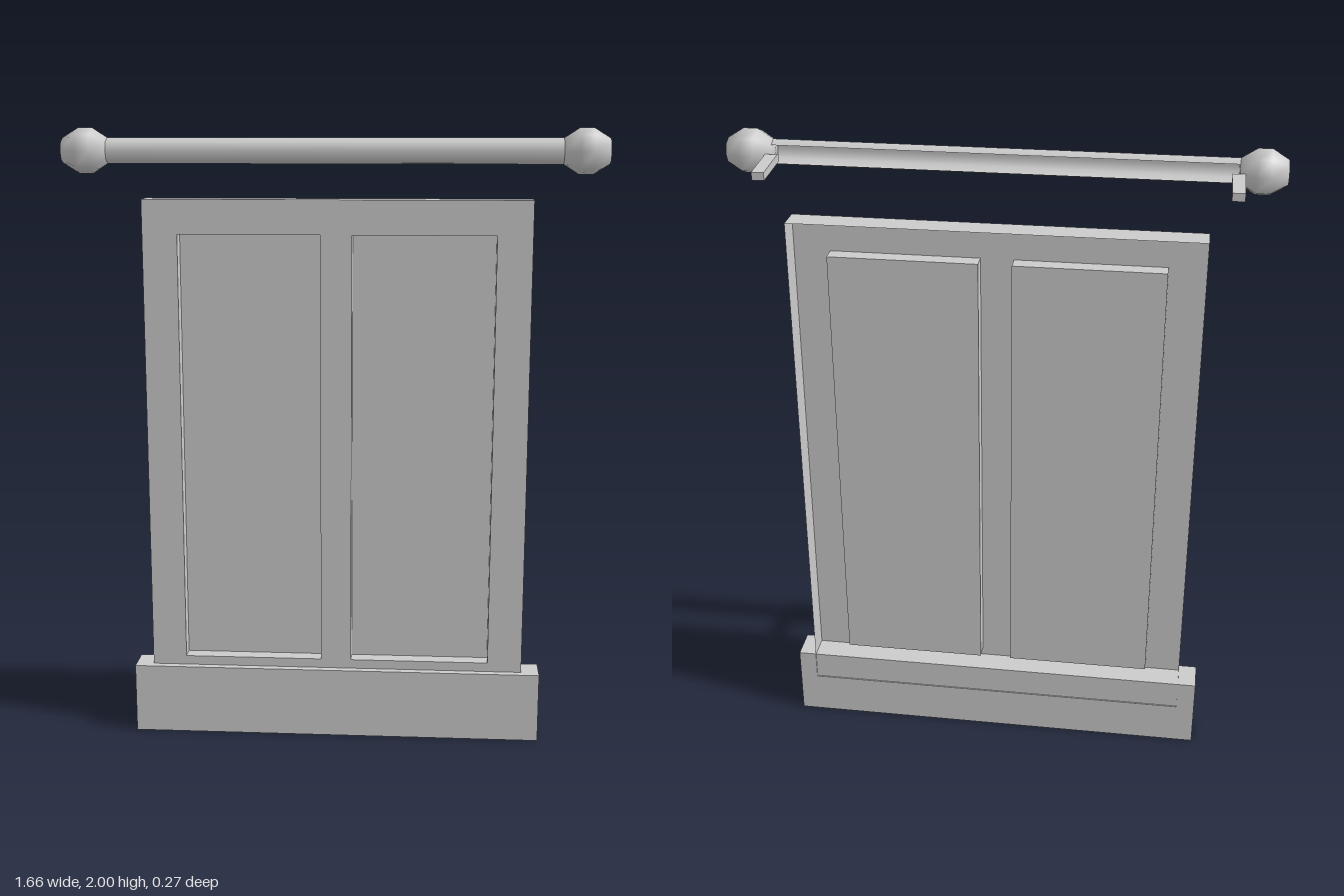
import * as THREE from 'three';
import { mergeGeometries } from 'three/addons/utils/BufferGeometryUtils.js';

const solid = new THREE.MeshStandardMaterial({ color: 0xcccccc });
const sheet = new THREE.MeshStandardMaterial({ color: 0xcccccc, side: THREE.DoubleSide });

function add(parent, name, geometry, material = solid) {
  const mesh = new THREE.Mesh(geometry, material);
  mesh.name = name;
  parent.add(mesh);
  return mesh;
}

// Four thin walls around a rectangle, facing outward, running from z0 to z1
function rectWalls(x0, x1, y0, y1, z0, z1) {
  const w = x1 - x0, h = y1 - y0, d = z1 - z0;
  const cx = (x0 + x1) / 2, cy = (y0 + y1) / 2, cz = (z0 + z1) / 2;
  return mergeGeometries([
    new THREE.PlaneGeometry(d, h).rotateY(Math.PI / 2).translate(x1, cy, cz),
    new THREE.PlaneGeometry(d, h).rotateY(-Math.PI / 2).translate(x0, cy, cz),
    new THREE.PlaneGeometry(w, d).rotateX(-Math.PI / 2).translate(cx, y1, cz),
    new THREE.PlaneGeometry(w, d).rotateX(Math.PI / 2).translate(cx, y0, cz),
  ]);
}

function rectPath(path, x0, x1, y0, y1) {
  path.moveTo(x0, y0).lineTo(x1, y0).lineTo(x1, y1).lineTo(x0, y1).closePath();
  return path;
}

export function createModel() {
  const model = new THREE.Group();
  model.name = 'panelAndRail';

  // Bottom sill
  add(model, 'sill', new THREE.BoxGeometry(1.35, 0.23, 0.106).translate(0, 0.115, -0.078));

  // Hollow frame, open at the back, with two recessed panels
  const FRONT = -0.051, BACK = -0.135, RECESS = -0.102;
  const frame = new THREE.Group();
  frame.name = 'frame';
  model.add(frame);
  const face = rectPath(new THREE.Shape(), -0.617, 0.617, 0.14, 1.78);
  for (const [x0, x1] of [[-0.505, -0.05], [0.05, 0.505]]) {
    face.holes.push(rectPath(new THREE.Path(), x0, x1, 0.26, 1.67));
    add(frame, 'recessWalls', rectWalls(x0, x1, 0.26, 1.67, RECESS, FRONT), sheet);
    add(frame, 'recessedPanel', new THREE.PlaneGeometry(x1 - x0, 1.41)
      .translate((x0 + x1) / 2, 0.965, RECESS), sheet);
  }
  add(frame, 'frameFace', new THREE.ShapeGeometry(face).translate(0, 0, FRONT), sheet);
  add(frame, 'frameSides', rectWalls(-0.617, 0.617, 0.14, 1.78, BACK, FRONT), sheet);

  // Eight-sided rail, with its two rear faces left open
  const RAIL_Y = 1.932, RAIL_Z = 0.066;
  const railGeometry = new THREE.CylinderGeometry(0.039, 0.039, 1.42, 6, 1, true, -Math.PI / 4, Math.PI * 1.5);
  railGeometry.rotateZ(Math.PI / 2);
  // Turn the opening to face the rear
  railGeometry.computeBoundingBox();
  const box = railGeometry.boundingBox;
  const turn = box.max.y < 0.035 ? -Math.PI / 2 : box.min.y > -0.035 ? Math.PI / 2
    : box.max.z < 0.035 ? Math.PI : 0;
  add(model, 'rail', railGeometry.rotateX(turn), sheet).position.set(0, RAIL_Y, RAIL_Z);

  // Faceted end knobs and the arms that reach back from the rail
  const knobProfile = [[0, -0.07], [0.038, -0.07], [0.069, -0.022], [0.069, 0.02], [0.038, 0.07], [0, 0.07]]
    .map(([r, h]) => new THREE.Vector2(r, h));
  const armProfile = new THREE.Shape([[-0.128, 1.904], [0.036, 1.913], [0.036, 1.932], [0.02, 1.937], [-0.128, 1.928]]
    .map(([z, y]) => new THREE.Vector2(-z, y)));
  for (const side of [1, -1]) {
    add(model, side > 0 ? 'leftKnob' : 'rightKnob',
      new THREE.LatheGeometry(knobProfile, 8).rotateZ(-side * Math.PI / 2))
      .position.set(side * 0.76, RAIL_Y, RAIL_Z);
    add(model, side > 0 ? 'leftArm' : 'rightArm',
      new THREE.ExtrudeGeometry(armProfile, { depth: 0.037, bevelEnabled: false })
        .translate(0, 0, -0.0185).rotateY(Math.PI / 2))
      .position.x = side * 0.688;
  }
  return model;
}
